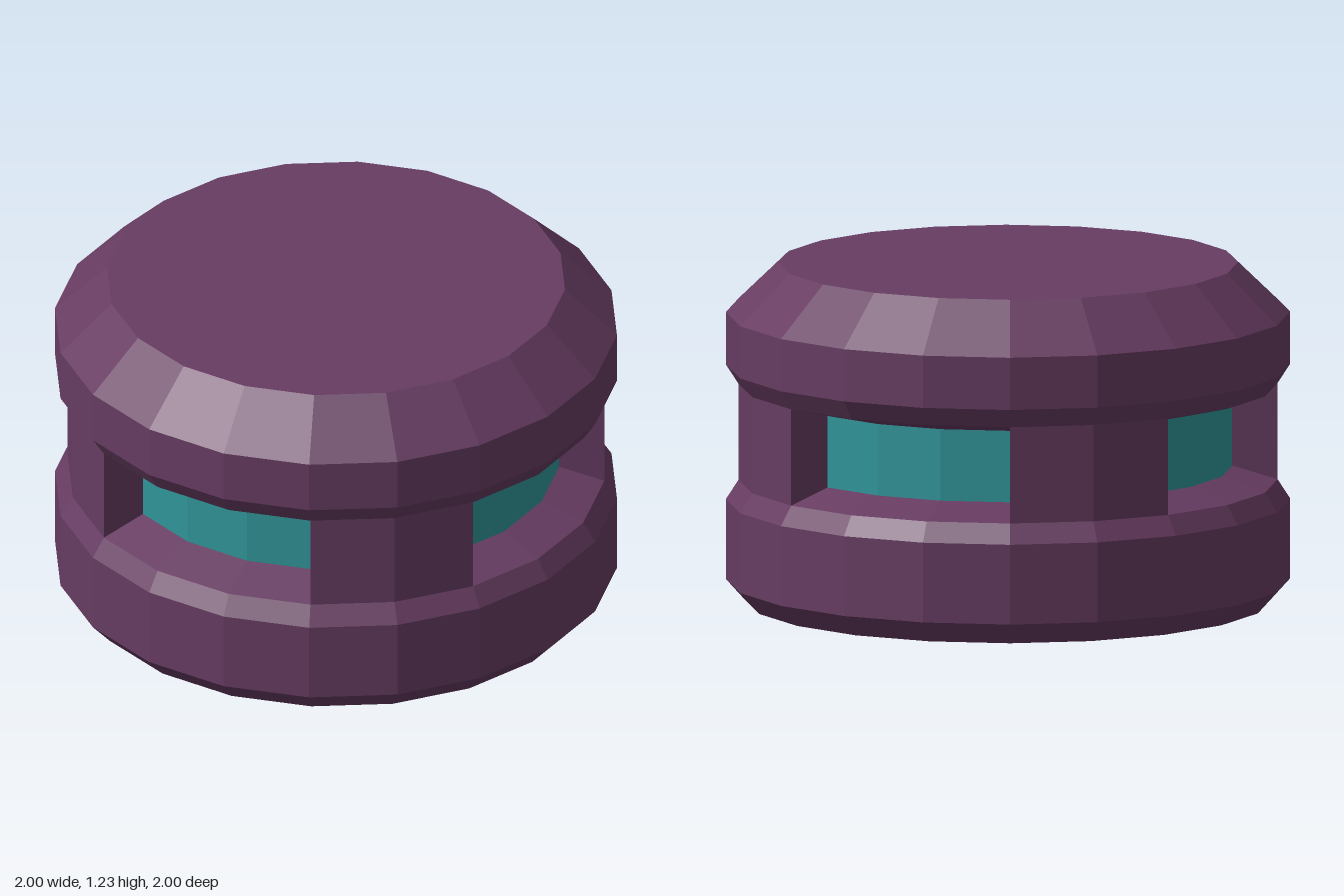
import * as THREE from 'three';

const SIDES = 20;
const STEP = (Math.PI * 2) / SIDES;
const HALF_WINDOW = STEP * 1.5; // each window spans three facets

const purple = new THREE.MeshStandardMaterial({ color: 0x673c62, flatShading: true });
const purpleThin = new THREE.MeshStandardMaterial({ color: 0x673c62, flatShading: true, side: THREE.DoubleSide });
const teal = new THREE.MeshStandardMaterial({ color: 0x309599, flatShading: true });

// Faceted surface turned from a bottom-to-top [radius, y] profile
function turned(name, profile, material, start = STEP / 2, facets = SIDES) {
  const points = profile.map(([r, y]) => new THREE.Vector2(r, y));
  const mesh = new THREE.Mesh(new THREE.LatheGeometry(points, facets, start, facets * STEP), material);
  mesh.name = name;
  return mesh;
}

export function createModel() {
  const model = new THREE.Group();
  model.name = 'lantern';

  // Recess section: outer edge and glass edge
  const outer = 0.967, inner = 0.804;
  const low = 0.44, high = 0.79, glassLow = 0.49, glassHigh = 0.75;

  // Base and cap drums with chamfered rims
  model.add(turned('base', [[0, 0], [0.94, 0], [1.0125, 0.08], [1.0125, 0.37], [outer, low]], purple));
  model.add(turned('cap', [[outer, high], [1.0125, 0.86], [1.0125, 1.05], [0.825, 1.23], [0, 1.23]], purple));

  // Side wall of a window recess
  const wallGeometry = new THREE.ShapeGeometry(new THREE.Shape([
    new THREE.Vector2(inner, glassLow), new THREE.Vector2(outer, low),
    new THREE.Vector2(outer, high), new THREE.Vector2(inner, glassHigh),
  ]));

  // Four windows with pillars between them
  for (let i = 0; i < 4; i++) {
    const angle = (i * Math.PI) / 2;
    const start = angle - HALF_WINDOW;

    const frame = new THREE.Group();
    frame.name = 'windowFrame';
    frame.add(turned('sill', [[outer, low], [inner, glassLow]], purple, start, 3));
    frame.add(turned('lintel', [[inner, glassHigh], [outer, high]], purple, start, 3));
    for (const side of [-1, 1]) {
      const wall = new THREE.Mesh(wallGeometry, purpleThin);
      wall.name = 'jamb';
      wall.rotation.y = angle + side * HALF_WINDOW - Math.PI / 2;
      frame.add(wall);
    }
    model.add(frame);

    model.add(turned('windowGlass', [[inner, glassLow], [inner, glassHigh]], teal, start, 3));
    model.add(turned('pillar', [[outer, low], [outer, high]], purple, angle + HALF_WINDOW, 2));
  }

  return model;
}
